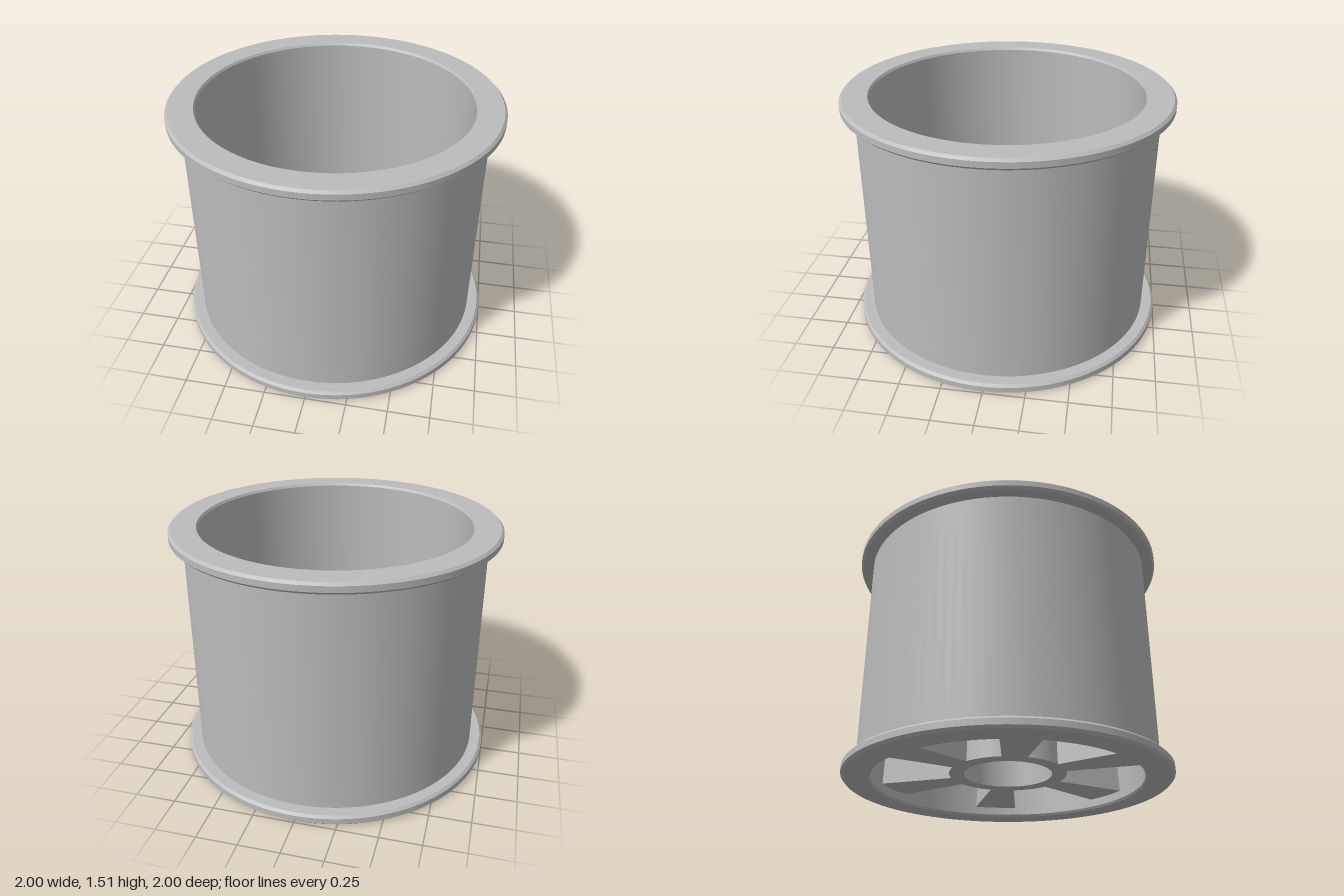
import * as THREE from 'three';
import { toCreasedNormals } from 'three/addons/utils/BufferGeometryUtils.js';

const grey = new THREE.MeshStandardMaterial({ color: 0xbcbcbc });
grey.name = 'plain grey';

function part(name, geometry) {
  const mesh = new THREE.Mesh(toCreasedNormals(geometry, 0.4), grey);
  mesh.name = name;
  return mesh;
}

// Revolve [radius, height] pairs, running up the outside
function revolve(profile) {
  return new THREE.LatheGeometry(profile.map(([r, y]) => new THREE.Vector2(r, y)), 96);
}

// Extrude a ground-plan shape upward from y = base
function raise(shape, base, depth) {
  return new THREE.ExtrudeGeometry(shape, { depth, bevelEnabled: false, curveSegments: 48 })
    .rotateX(-Math.PI / 2)
    .translate(0, base, 0);
}

export function createModel() {
  const wheel = new THREE.Group();
  wheel.name = 'wheelRim';
  const H = 1.51, flange = 0.065, c = 0.015;

  // Barrel with a chamfered flange at each end
  wheel.add(part('barrel', revolve([
    [0.835, 0], [1 - c, 0], [1, c], [1, flange - c], [1 - c, flange], [0.92, flange],
    [0.92, H - flange], [1 - c, H - flange], [1, H - flange + c], [1, H - c], [1 - c, H],
    [0.835, H], [0.825, H - c], [0.825, c], [0.835, 0],
  ])));

  // Tapered hub with a round recess underneath
  const base = 0.065, step = 0.24, hubTop = 0.5;
  wheel.add(part('hub', revolve([
    [0.27, step], [0.27, base], [0.36, base], [0.335, hubTop], [0.3, hubTop],
  ])));

  // Hub core with the hexagonal hole
  const core = new THREE.Shape().absarc(0, 0, 0.3, 0, Math.PI * 2, false);
  const hex = [];
  for (let i = 0; i < 6; i++) {
    const a = THREE.MathUtils.degToRad(97 + 60 * i);
    hex.push(new THREE.Vector2(0.245 * Math.cos(a), 0.245 * Math.sin(a)));
  }
  core.holes.push(new THREE.Path(hex));
  wheel.add(part('hexSocket', raise(core, step, hubTop - step)));

  // Six spokes, widening outward and slightly narrower on top
  const plan = new THREE.Shape([[0.3, -0.067], [0.845, -0.145], [0.845, 0.145], [0.3, 0.067]]
    .map(([x, y]) => new THREE.Vector2(x, y)));
  const spokeGeometry = raise(plan, base, 0.21);
  const pos = spokeGeometry.attributes.position;
  for (let i = 0; i < pos.count; i++) {
    if (pos.getY(i) > base + 0.1) pos.setZ(i, pos.getZ(i) - Math.sign(pos.getZ(i)) * 0.012);
  }
  for (let i = 0; i < 6; i++) {
    const spoke = part('spoke', spokeGeometry);
    spoke.rotation.y = THREE.MathUtils.degToRad(6.8 + 60 * i);
    wheel.add(spoke);
  }
  return wheel;
}
